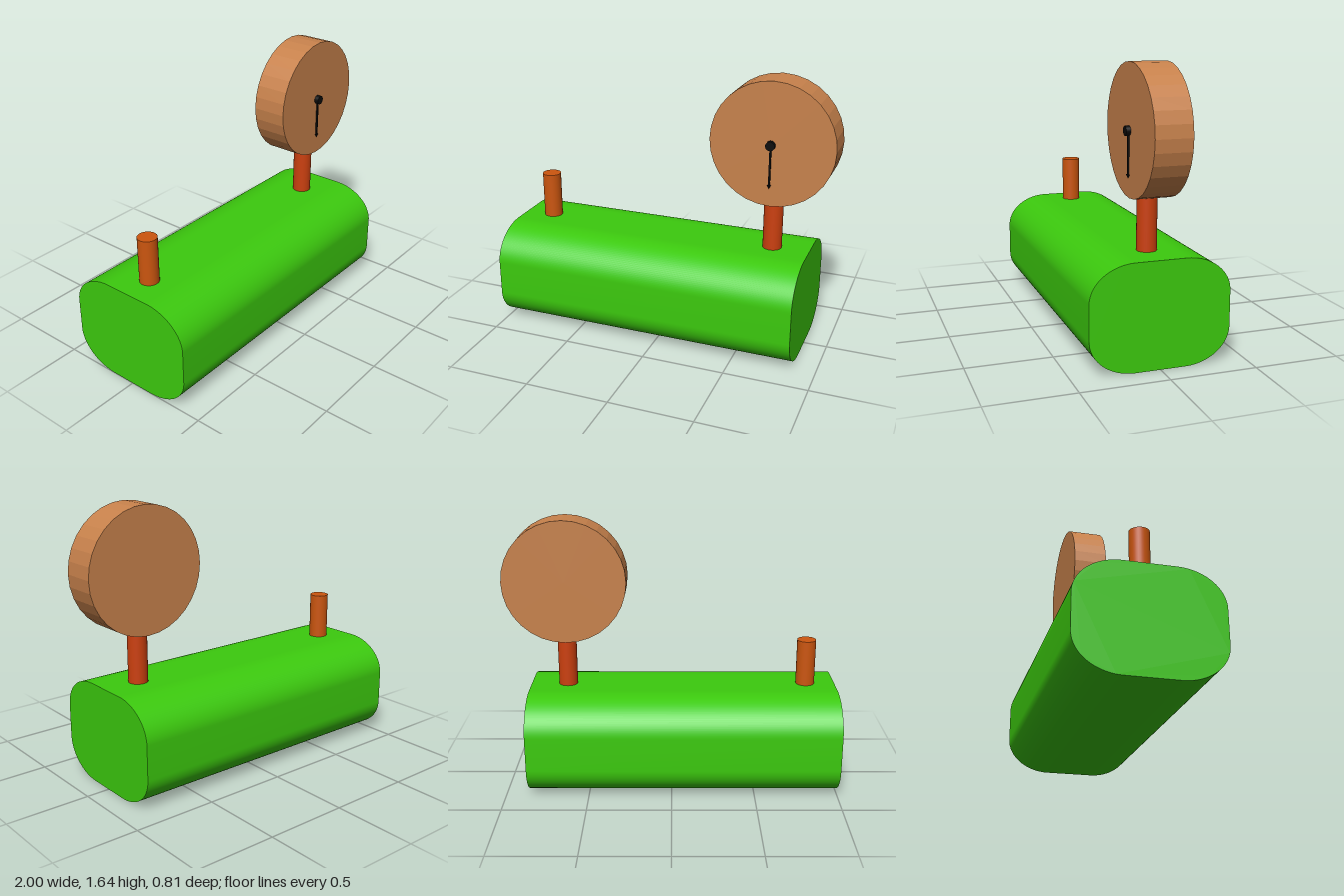
import * as THREE from 'three';
import { toCreasedNormals } from 'three/addons/utils/BufferGeometryUtils.js';

function part(name, geometry, color, x, y, z, flatShading = false) {
  const mesh = new THREE.Mesh(geometry, new THREE.MeshStandardMaterial({ color, flatShading }));
  mesh.name = name;
  mesh.position.set(x, y, z);
  return mesh;
}

// Tank: rounded cross-section with elliptical corners, swept along x
function tankGeometry(length, halfWidth, halfHeight, rx, ry) {
  const shape = new THREE.Shape();
  const cx = halfWidth - rx, cy = halfHeight - ry;
  shape.moveTo(halfWidth, -cy);
  [[1, 1], [-1, 1], [-1, -1], [1, -1]].forEach(([sx, sy], i) => {
    const start = i * Math.PI / 2;
    shape.absellipse(sx * cx, sy * cy, rx, ry, start, start + Math.PI / 2, false, 0);
  });
  const geometry = new THREE.ExtrudeGeometry(shape, { depth: length, bevelEnabled: false, curveSegments: 16 });
  geometry.translate(0, 0, -length / 2).rotateY(Math.PI / 2);
  return toCreasedNormals(geometry, 0.6);
}

// Upright post between two heights
function post(name, color, x, bottom, top) {
  const geometry = new THREE.CylinderGeometry(0.057, 0.057, top - bottom, 32);
  return part(name, geometry, color, x, (top + bottom) / 2, 0);
}

// Disc whose faces look along z
function disc(radius, depth, sides) {
  return new THREE.CylinderGeometry(radius, radius, depth, sides).rotateX(Math.PI / 2);
}

export function createModel() {
  const model = new THREE.Group();
  model.name = 'tankWithGauge';

  model.add(part('tank', tankGeometry(1.86, 0.403, 0.305, 0.26, 0.205), 0x3cca0e, -0.07, 0.305, 0));
  model.add(post('outletPipe', 0xcc560f, -0.82, 0.58, 0.89));
  model.add(post('gaugeStem', 0xcc400f, 0.635, 0.58, 0.93));

  // Gauge: faceted dial, hub and downward pointer
  const gauge = new THREE.Group();
  gauge.name = 'gauge';
  gauge.position.set(0.632, 1.27, 0);
  gauge.add(part('dial', disc(0.366, 0.21, 32), 0xc8824c, 0, 0, -0.004, true));
  gauge.add(part('pointerHub', disc(0.027, 0.035, 24), 0x0a0a0a, -0.005, 0, 0.109));
  gauge.add(part('pointer', new THREE.BoxGeometry(0.01, 0.23, 0.01), 0x0a0a0a, -0.005, -0.125, 0.107));
  const tip = new THREE.ConeGeometry(0.011, 0.022, 12).rotateX(Math.PI);
  gauge.add(part('pointerTip', tip, 0x0a0a0a, -0.005, -0.247, 0.107));
  model.add(gauge);

  return model;
}
